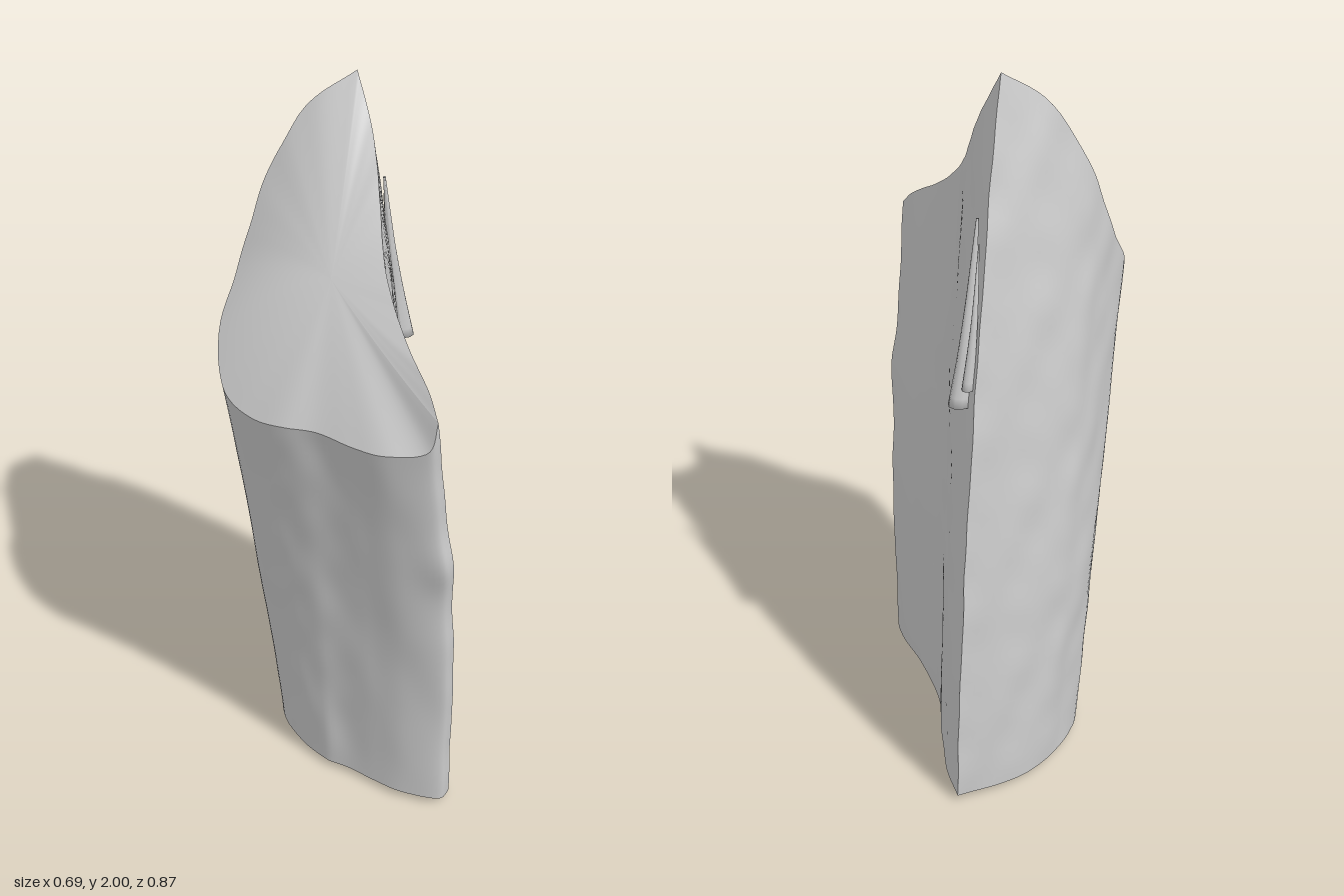
import * as THREE from 'three';

const V = (x, y, z) => new THREE.Vector3(x, y, z);

// Upper rim of the bark, from the front right corner round the front to the peak
const barkRim = new THREE.CatmullRomCurve3([
  V(0.32, 1.36, 0.405), V(0.305, 1.28, 0.425), V(0.2, 1.25, 0.435), V(0.1, 1.24, 0.418),
  V(0, 1.24, 0.398), V(-0.1, 1.23, 0.39), V(-0.2, 1.22, 0.37), V(-0.295, 1.25, 0.325),
  V(-0.342, 1.36, 0.25), V(-0.338, 1.5, 0.14), V(-0.325, 1.6, 0.09), V(-0.3, 1.72, 0.045),
  V(-0.2, 1.92, -0.02), V(-0.095, 2, -0.07),
]);
// Upper rim of the split face, from the peak back to the front right corner
const splitRim = new THREE.CatmullRomCurve3([
  V(-0.095, 2, -0.07), V(-0.035, 1.88, -0.02), V(0.03, 1.73, 0.08), V(0.09, 1.6, 0.185),
  V(0.2, 1.48, 0.3), V(0.28, 1.41, 0.365), V(0.32, 1.36, 0.405),
]);

// Forward lean of the log at height y
const lean = (y) => 0.03 * y + 0.075 * y * y;

// Point under a rim point, t = 0 at the base and 1 at the rim, with slight roughness
function wallPoint(rim, t) {
  const y = 0.02 + t * (rim.y - 0.02);
  const widen = 0.93 + 0.07 * Math.min(1, y / 0.6);
  const zBase = rim.z - lean(rim.y);
  // The front left corner gets rounder towards the base
  const trim = 0.22 * Math.max(0, zBase - rim.x - 0.3) * (1 - t);
  const x = rim.x * widen + trim;
  const z = zBase + lean(y) - trim;
  const knot = Math.exp(-((y - 0.88) ** 2) / 0.006 - ((x - 0.32) ** 2) / 0.004);
  const lumps = Math.sin(9 * y + 21 * x) * Math.sin(25 * zBase - 4 * y)
    + 0.6 * Math.sin(31 * y + 2) * Math.sin(37 * x - 6 * y) * Math.cos(29 * zBase);
  return V(x + 0.003 * lumps + 0.015 * knot, y, z + 0.003 * lumps + 0.012 * knot);
}

// Smooth surface over a grid of points: u runs round the log, v up or inward
function sheet(name, nu, nv, point) {
  const pos = [], index = [];
  for (let i = 0; i <= nu; i++) {
    for (let j = 0; j <= nv; j++) {
      pos.push(...point(i / nu, j / nv).toArray());
      if (i < nu && j < nv) {
        const a = i * (nv + 1) + j, b = a + 1, c = a + nv + 1, d = c + 1;
        index.push(a, b, c, b, d, c);
      }
    }
  }
  const geo = new THREE.BufferGeometry();
  geo.setAttribute('position', new THREE.Float32BufferAttribute(pos, 3));
  geo.setIndex(index);
  geo.computeVertexNormals();
  const mesh = new THREE.Mesh(geo, new THREE.MeshStandardMaterial({
    color: 0xcccccc, side: THREE.DoubleSide,
  }));
  mesh.name = name;
  return mesh;
}

// Sliver of wood along a path, thickening downwards and ending bluntly
function splinter(name, points, width, depth) {
  const path = new THREE.CatmullRomCurve3(points);
  return sheet(name, 10, 16, (u, v) => {
    const a = u * Math.PI * 2;
    const size = v === 1 ? 0 : 0.1 + 0.9 * v;
    const across = Math.cos(a) * width * size;
    const out = Math.sin(a) * depth * size;
    // Width follows the split face, depth points away from it
    return path.getPoint(Math.min(1, v * 1.07)).add(
      V(across * 0.45 - out * 0.9, 0, across * 0.9 + out * 0.45));
  });
}

export function createModel() {
  const log = new THREE.Group();
  log.name = 'splitLog';

  // Both rims joined into one loop for the end faces
  const around = (u) => (u < 0.6 ? barkRim.getPoint(u / 0.6) : splitRim.getPoint((u - 0.6) / 0.4));

  // Curved bark and flat split side
  log.add(sheet('bark', 84, 48, (u, v) => wallPoint(barkRim.getPoint(u), v)));
  log.add(sheet('splitFace', 56, 48, (u, v) => wallPoint(splitRim.getPoint(u), v)));

  // Slanting cut on top: a plane that eases into the rim
  const cutHeight = (p) => 1.87 - 1.5 * p.z + 0.15 * p.x;
  const cutCentre = V(-0.05, 0, 0.2);
  log.add(sheet('slantedCut', 140, 14, (u, v) => {
    const p = wallPoint(around(u), 1);
    const offPlane = p.y - cutHeight(p);
    p.lerp(cutCentre, v);
    p.y = cutHeight(p) + offPlane * (1 - v) ** 2;
    return p;
  }));

  // Nearly flat base
  const baseCentre = V(-0.05, 0, -0.03);
  log.add(sheet('base', 140, 6, (u, v) => {
    const p = baseCentre.clone().lerp(wallPoint(around(u), 0), v);
    p.y = 0.02 * v ** 3;
    return p;
  }));

  // Lifted slivers at the back edge
  log.add(splinter('splinter', [
    V(-0.07, 1.66, -0.18), V(-0.06, 1.45, -0.2), V(-0.055, 1.3, -0.225), V(-0.045, 1.16, -0.245),
  ], 0.026, 0.034));
  log.add(splinter('smallSplinter', [
    V(-0.08, 1.6, -0.2), V(-0.08, 1.4, -0.24), V(-0.07, 1.22, -0.265),
  ], 0.014, 0.016));

  return log;
}
